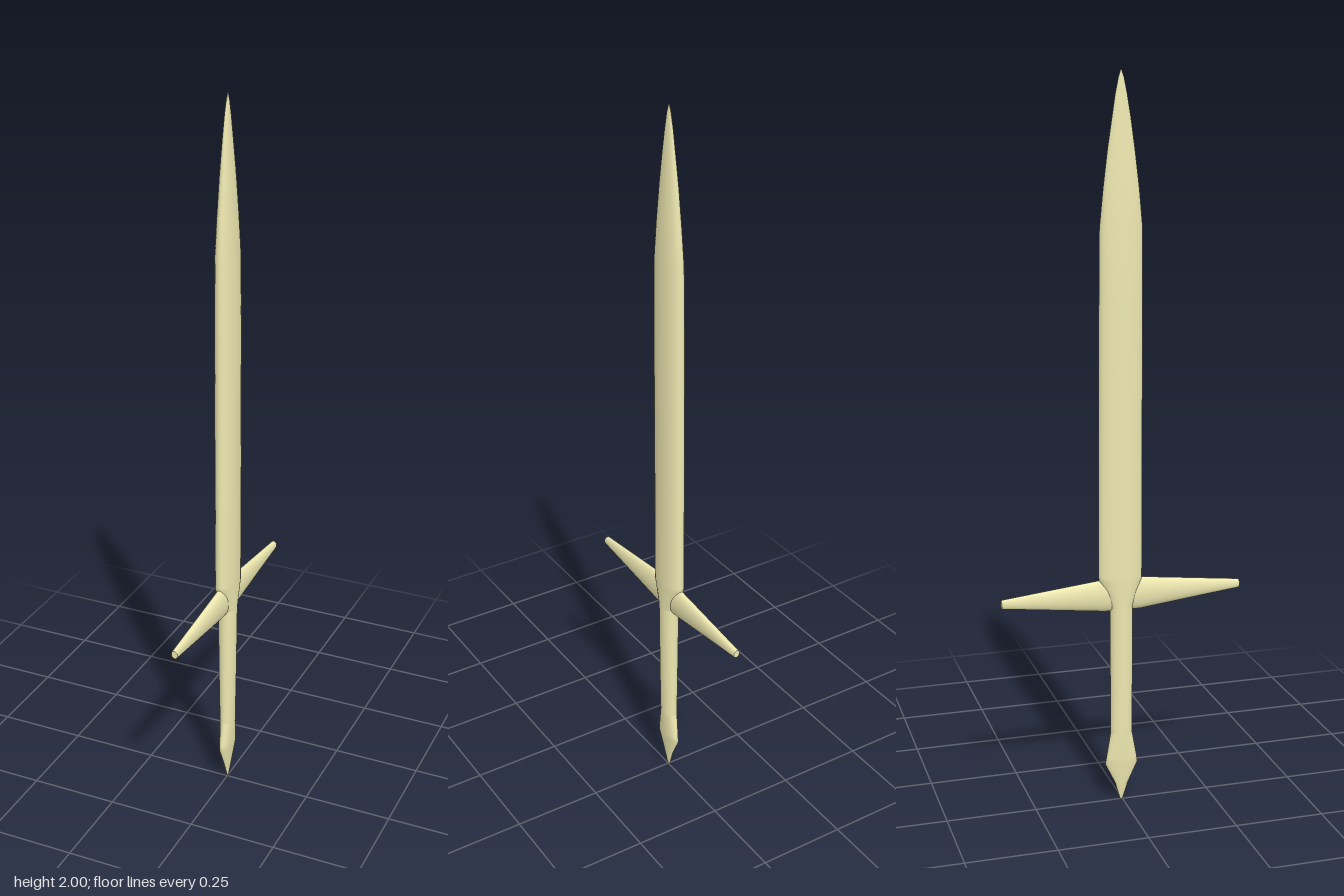
import * as THREE from 'three';

const SIDES = 28;
const material = new THREE.MeshStandardMaterial({ color: 0xeee8b0 });

// Smooth elliptical loft along y. Each section: [y, half thickness in x, z min, z max].
function loft(name, sections) {
  const positions = [], index = [];
  const ring = ([y, a, z0, z1]) => {
    for (let j = 0; j < SIDES; j++) {
      const t = (j / SIDES) * Math.PI * 2;
      positions.push(a * Math.cos(t), y, (z0 + z1) / 2 + ((z1 - z0) / 2) * Math.sin(t));
    }
  };
  sections.forEach(ring);
  for (let i = 0; i < sections.length - 1; i++) {
    for (let j = 0; j < SIDES; j++) {
      const k = (j + 1) % SIDES;
      const a = i * SIDES + j, b = i * SIDES + k;
      index.push(a, a + SIDES, b, b, a + SIDES, b + SIDES);
    }
  }
  // flat caps with their own vertices keep the rims sharp
  [sections[0], sections[sections.length - 1]].forEach((s, end) => {
    const start = positions.length / 3;
    ring(s);
    for (let j = 1; j < SIDES - 1; j++) {
      if (end) index.push(start, start + j + 1, start + j);
      else index.push(start, start + j, start + j + 1);
    }
  });
  const geometry = new THREE.BufferGeometry();
  geometry.setAttribute('position', new THREE.Float32BufferAttribute(positions, 3));
  geometry.setIndex(index);
  geometry.computeVertexNormals();
  const mesh = new THREE.Mesh(geometry, material);
  mesh.name = name;
  return mesh;
}

export function createModel() {
  const sword = new THREE.Group();
  sword.name = 'sword';

  // blade: narrows into the guard below, long pointed arch above
  sword.add(loft('blade', [
    [0.57, 0.026, -0.035, 0.028],
    [0.645, 0.028, -0.066, 0.054],
    [0.66, 0.028, -0.067, 0.055],
    [1.1, 0.028, -0.066, 0.055],
    [1.4, 0.028, -0.064, 0.055],
    [1.6, 0.025, -0.062, 0.055],
    [1.7, 0.021, -0.052, 0.046],
    [1.8, 0.016, -0.04, 0.034],
    [1.88, 0.011, -0.028, 0.023],
    [1.94, 0.007, -0.019, 0.013],
    [1.98, 0.004, -0.011, 0.005],
    [2.0, 0.001, -0.005, -0.002],
  ]));

  // grip
  sword.add(loft('grip', [
    [0.2, 0.02, -0.034, 0.028],
    [0.35, 0.023, -0.034, 0.028],
    [0.58, 0.026, -0.035, 0.028],
  ]));

  // pointed pommel
  sword.add(loft('pommel', [
    [0, 0.001, -0.006, 0.0],
    [0.015, 0.004, -0.011, 0.005],
    [0.05, 0.009, -0.021, 0.016],
    [0.11, 0.015, -0.05, 0.044],
    [0.13, 0.017, -0.046, 0.041],
    [0.2, 0.02, -0.034, 0.028],
  ]));

  // crossguard, lofted along z and tapering to blunt ends
  const guard = loft('crossguard', [
    [-0.338, 0.009, -0.617, -0.595],
    [-0.335, 0.01, -0.619, -0.594],
    [-0.05, 0.017, -0.651, -0.56],
    [0.05, 0.017, -0.651, -0.56],
    [0.335, 0.01, -0.619, -0.594],
    [0.338, 0.009, -0.617, -0.595],
  ]);
  guard.rotation.x = Math.PI / 2;
  sword.add(guard);

  return sword;
}
